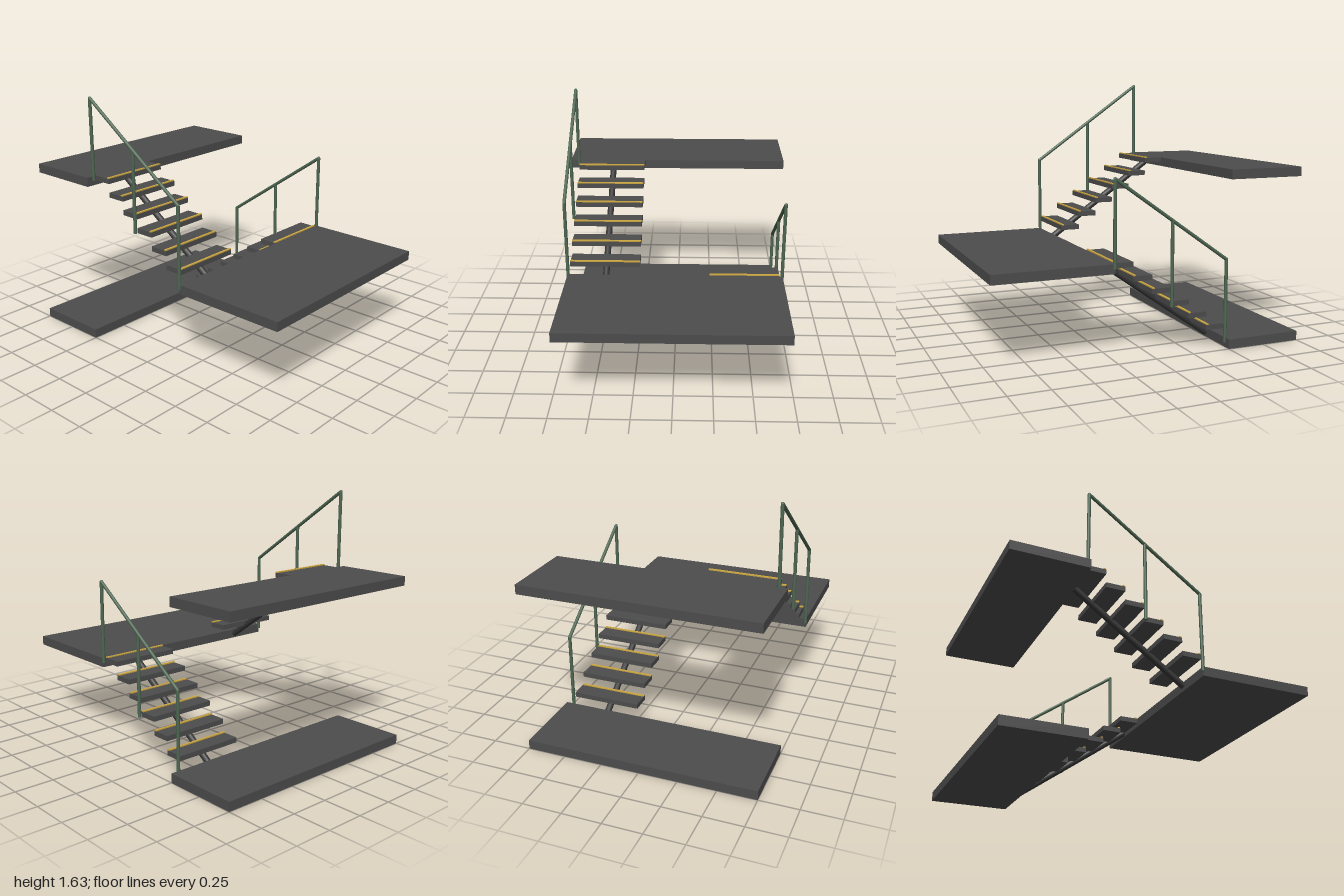
import * as THREE from 'three';

const mat = (name, color) => {
  const m = new THREE.MeshStandardMaterial({ color });
  m.name = name;
  return m;
};

export function createModel() {
  const model = new THREE.Group();
  model.name = 'switchbackStaircase';
  const concrete = mat('darkConcrete', 0x4c4c4c);
  const steel = mat('blackSteel', 0x363636);
  const railPaint = mat('greenRailPaint', 0x4e6652);
  const yellow = mat('yellowNosing', 0xcca640);

  // box given by its minimum and maximum corners
  const box = (parent, name, material, [x0, y0, z0], [x1, y1, z1]) => {
    const mesh = new THREE.Mesh(new THREE.BoxGeometry(x1 - x0, y1 - y0, z1 - z0), material);
    mesh.position.set((x0 + x1) / 2, (y0 + y1) / 2, (z0 + z1) / 2);
    mesh.name = name;
    parent.add(mesh);
  };

  // round bar between two points
  const bar = (parent, name, material, radius, from, to) => {
    const a = new THREE.Vector3(...from), b = new THREE.Vector3(...to);
    const dir = b.clone().sub(a);
    const mesh = new THREE.Mesh(new THREE.CylinderGeometry(radius, radius, dir.length(), 12), material);
    mesh.position.copy(a).add(b).multiplyScalar(0.5);
    mesh.quaternion.setFromUnitVectors(new THREE.Vector3(0, 1, 0), dir.normalize());
    mesh.name = name;
    parent.add(mesh);
  };

  const rise = 0.0885, run = 0.125, slab = 0.06, startX = -0.5, endX = 0.25;
  const floorY = slab, middleY = slab + 6 * rise, topY = slab + 12 * rise;

  // landings
  box(model, 'groundLanding', concrete, [-1, floorY - slab, -0.75], [startX, floorY, 0.75]);
  box(model, 'middleLanding', concrete, [endX, middleY - slab, -0.7], [1, middleY, 0.7]);
  box(model, 'topLanding', concrete, [-1, topY - slab, -0.75], [startX, topY, 0.75]);

  // one flight: leftY and rightY are the landing levels at its two ends
  const flight = (name, side, leftY, rightY) => {
    const group = new THREE.Group();
    group.name = name;
    model.add(group);
    const z0 = Math.min(side * 0.227, side * 0.68), z1 = z0 + 0.453;
    const up = rightY > leftY;

    // treads with a yellow nosing strip
    for (let i = 0; i < 6; i++) {
      const x = startX + i * run;
      const y = up ? leftY + (i + 1) * rise : leftY - i * rise;
      box(group, 'tread', concrete, [x, y - 0.032, z0], [x + run, y, z1]);
      box(group, 'nosing', yellow, [x + 0.107, y, z0], [x + 0.122, y + 0.007, z1]);
    }

    // central stringer
    const yL = leftY - slab / 2, yR = rightY - slab / 2;
    bar(group, 'stringer', steel, 0.021, [startX, yL, side * 0.45], [endX, yR, side * 0.45]);

    // outer railing: three posts and a sloping handrail with rounded joints
    const height = 0.53, z = side * 0.697, r = 0.011;
    for (const t of [0, 0.5, 1]) {
      const x = startX + t * (endX - startX), y = yL + t * (yR - yL);
      bar(group, 'railPost', railPaint, r, [x, y, z], [x, y + height, z]);
      if (t !== 0.5) {
        const joint = new THREE.Mesh(new THREE.SphereGeometry(r, 12, 8), railPaint);
        joint.position.set(x, y + height, z);
        joint.name = 'railJoint';
        group.add(joint);
      }
    }
    bar(group, 'handrail', railPaint, r, [startX, yL + height, z], [endX, yR + height, z]);
  };

  flight('lowerFlight', -1, floorY, middleY);
  flight('upperFlight', 1, topY, middleY);
  return model;
}
